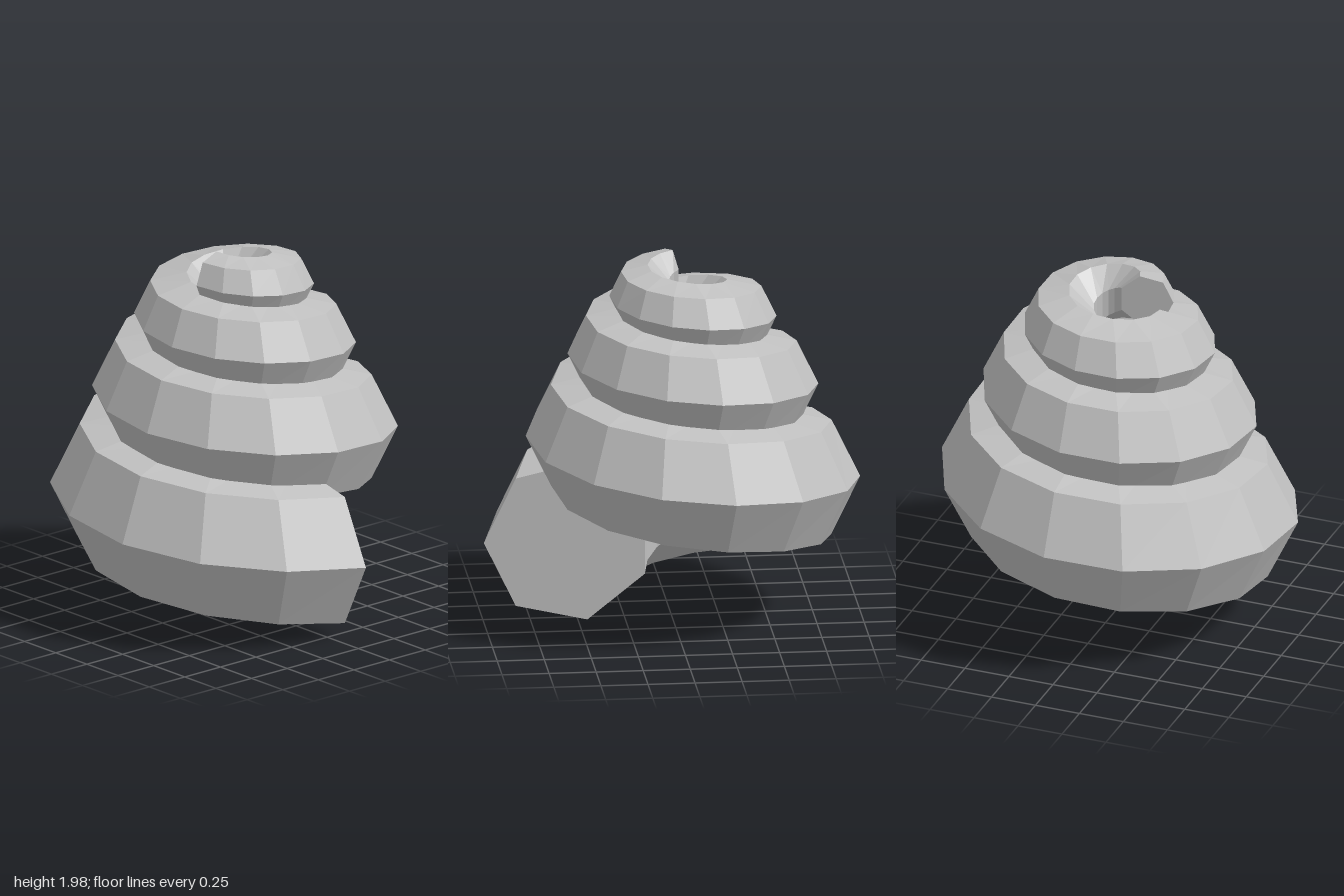
import * as THREE from 'three';

const SIDES = 7;            // corners of the tube's cross-section
const STEPS = 45;           // sections along the spiral
const STEPS_PER_TURN = 14;
const AXIS_X = -0.055, AXIS_Z = -0.053;

// Corner of the heptagonal cross-section: the tube narrows, climbs and tightens with each turn
function corner(step, side) {
  const turn = step / STEPS_PER_TURN;
  const theta = turn * Math.PI * 2;
  const phi = (side / SIDES) * Math.PI * 2;
  const size = 0.45 - 0.0943 * turn;
  const outer = 1.055 - 0.222 * turn;
  const centreY = 0.44 + 0.656 * turn - 0.0688 * turn * turn;
  const r = outer - size + size * Math.cos(phi);
  return [
    AXIS_X + r * Math.cos(theta),
    centreY + size * Math.sin(phi),
    AXIS_Z + r * Math.sin(theta),
  ];
}

function facetedGeometry(positions) {
  const geometry = new THREE.BufferGeometry();
  geometry.setAttribute('position', new THREE.Float32BufferAttribute(positions, 3));
  geometry.computeVertexNormals();
  return geometry;
}

// Outer skin of the coiled tube
function whorlGeometry() {
  const p = [];
  for (let i = 0; i < STEPS; i++) {
    for (let j = 0; j < SIDES; j++) {
      const a = corner(i, j), b = corner(i, j + 1);
      const c = corner(i + 1, j), d = corner(i + 1, j + 1);
      p.push(...a, ...b, ...c, ...b, ...d, ...c);
    }
  }
  return facetedGeometry(p);
}

// Flat heptagon closing one end of the tube
function capGeometry(step, flip) {
  const p = [];
  for (let j = 1; j < SIDES - 1; j++) {
    const b = corner(step, j), c = corner(step, j + 1);
    p.push(...corner(step, 0), ...(flip ? c : b), ...(flip ? b : c));
  }
  return facetedGeometry(p);
}

export function createModel() {
  const shellGrey = new THREE.MeshStandardMaterial({ color: 0xc0c0c0, flatShading: true });
  shellGrey.name = 'shell grey';

  const shell = new THREE.Group();
  shell.name = 'spiralShell';
  const add = (name, geometry) => {
    const mesh = new THREE.Mesh(geometry, shellGrey);
    mesh.name = name;
    shell.add(mesh);
  };
  add('whorls', whorlGeometry());
  add('mouthFace', capGeometry(0, true));
  add('tipFace', capGeometry(STEPS, false));
  return shell;
}
